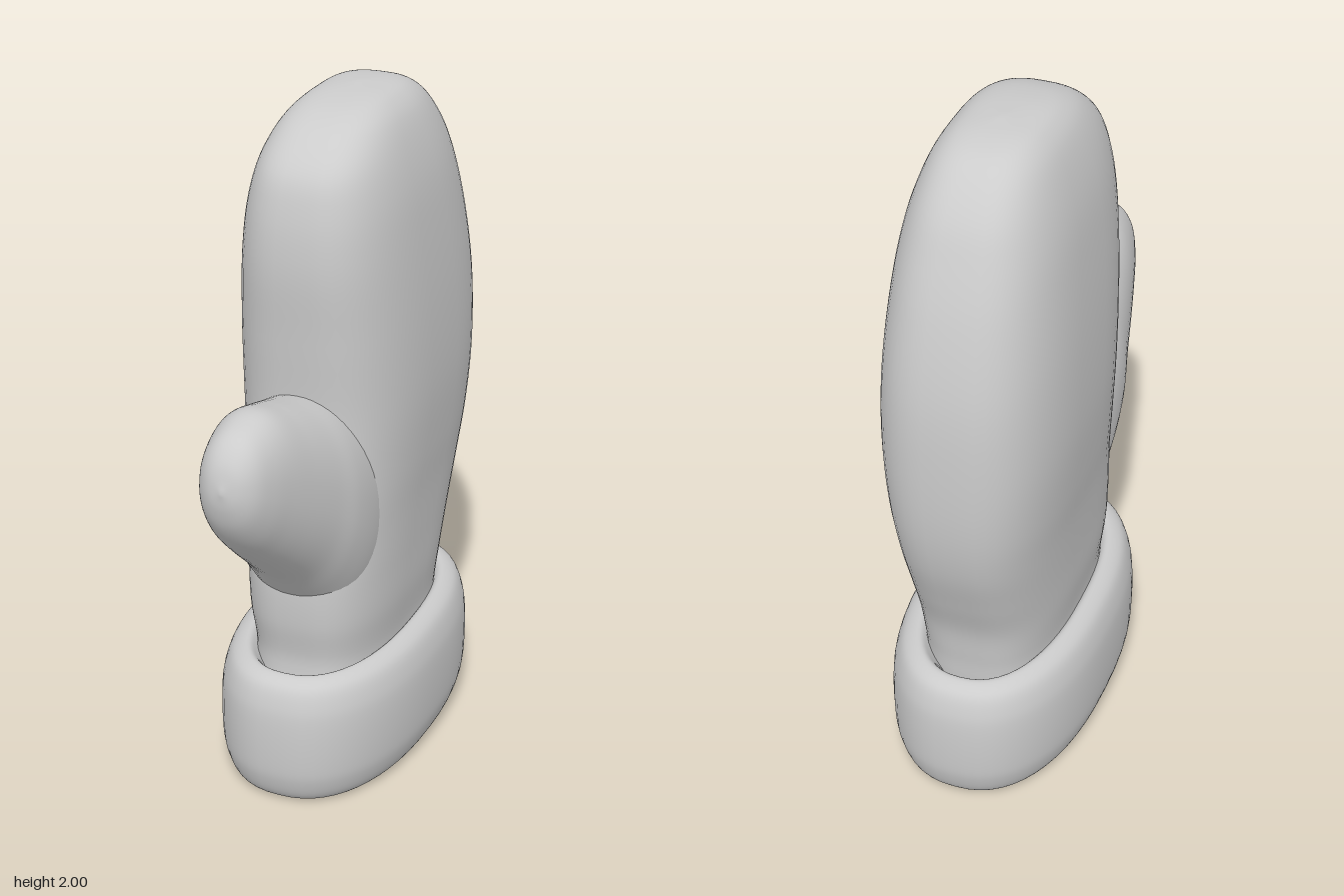
import * as THREE from 'three';
import { mergeVertices } from 'three/addons/utils/BufferGeometryUtils.js';

const material = new THREE.MeshStandardMaterial({ color: 0xcccccc, side: THREE.DoubleSide });
const AROUND = 56;

// Smooth skin over superellipse sections. Each section is [zA, yA, zB, yB, halfWidth]:
// A and B are its two ends in the middle plane, halfWidth its reach along x.
function loft(name, sections, power, steps) {
  const curveA = new THREE.CatmullRomCurve3(sections.map(([z, y, , , w]) => new THREE.Vector3(w, y, z)));
  const curveB = new THREE.CatmullRomCurve3(sections.map(([, , z, y, w]) => new THREE.Vector3(w, y, z)));
  const bulge = (v) => Math.sign(v) * Math.pow(Math.abs(v), 2 / power);
  const positions = [];
  const index = [];
  for (let i = 0; i <= steps; i++) {
    const a = curveA.getPoint(i / steps);
    const b = curveB.getPoint(i / steps);
    for (let j = 0; j < AROUND; j++) {
      const angle = (j / AROUND) * Math.PI * 2;
      const p = a.clone().lerp(b, (1 + bulge(Math.sin(angle))) / 2);
      positions.push((a.x + b.x) / 2 * bulge(Math.cos(angle)), p.y, p.z);
      if (i < steps) {
        const k = i * AROUND + j;
        const n = i * AROUND + (j + 1) % AROUND;
        index.push(k, k + AROUND, n, n, k + AROUND, n + AROUND);
      }
    }
  }
  let geometry = new THREE.BufferGeometry();
  geometry.setAttribute('position', new THREE.Float32BufferAttribute(positions, 3));
  geometry.setIndex(index);
  geometry = mergeVertices(geometry, 1e-5);
  geometry.computeVertexNormals();
  const mesh = new THREE.Mesh(geometry, material);
  mesh.name = name;
  return mesh;
}

export function createModel() {
  const group = new THREE.Group();
  group.name = 'mitten';

  // Hand: height, back z, front z, half width
  const hand = [
    [0.25, -0.15, -0.15, 0],
    [0.25, -0.45, 0.18, 0.16],
    [0.27, -0.51, 0.24, 0.2],
    [0.4, -0.53, 0.24, 0.205],
    [0.52, -0.55, 0.26, 0.218],
    [0.65, -0.6, 0.265, 0.225],
    [0.8, -0.655, 0.25, 0.235],
    [0.95, -0.685, 0.23, 0.25],
    [1.15, -0.695, 0.22, 0.263],
    [1.38, -0.683, 0.235, 0.26],
    [1.6, -0.635, 0.25, 0.243],
    [1.75, -0.58, 0.235, 0.222],
    [1.85, -0.53, 0.2, 0.195],
    [1.93, -0.46, 0.11, 0.16],
    [1.97, -0.4, 0.02, 0.125],
    [1.99, -0.33, -0.08, 0.085],
    [2.0, -0.22, -0.22, 0],
  ];
  group.add(loft('hand', hand.map(([y, back, front, w]) => [back, y, front, y, w]), 2.8, 96));

  // Thumb: upper edge, lower edge, half width, growing out of the hand
  group.add(loft('thumb', [
    [-0.1, 1.13, 0.08, 0.45, 0.19],
    [0.08, 1.18, 0.19, 0.54, 0.205],
    [0.21, 1.22, 0.27, 0.63, 0.2],
    [0.3, 1.245, 0.345, 0.71, 0.18],
    [0.4, 1.275, 0.45, 0.8, 0.156],
    [0.5, 1.3, 0.54, 0.875, 0.132],
    [0.57, 1.29, 0.62, 0.95, 0.11],
    [0.63, 1.265, 0.67, 1.02, 0.085],
    [0.675, 1.215, 0.692, 1.08, 0.05],
    [0.7, 1.14, 0.7, 1.14, 0],
  ], 2.2, 54));

  // Cuff: thick rounded band with an open underside; profile is [inset, height]
  const cuffProfile = [
    [0.17, 0.3], [0.17, 0.11], [0.14, 0.05], [0.1, 0.015], [0.06, 0], [0.03, 0.02],
    [0.007, 0.08], [0, 0.14], [0, 0.26], [0.008, 0.32], [0.03, 0.375],
    [0.065, 0.397], [0.085, 0.395], [0.105, 0.37], [0.13, 0.33],
  ];
  group.add(loft('cuff', cuffProfile.map(([inset, y]) =>
    [-0.68 + inset, y, 0.4 - inset, y, 0.3 - inset]), 2.35, 70));

  return group;
}
